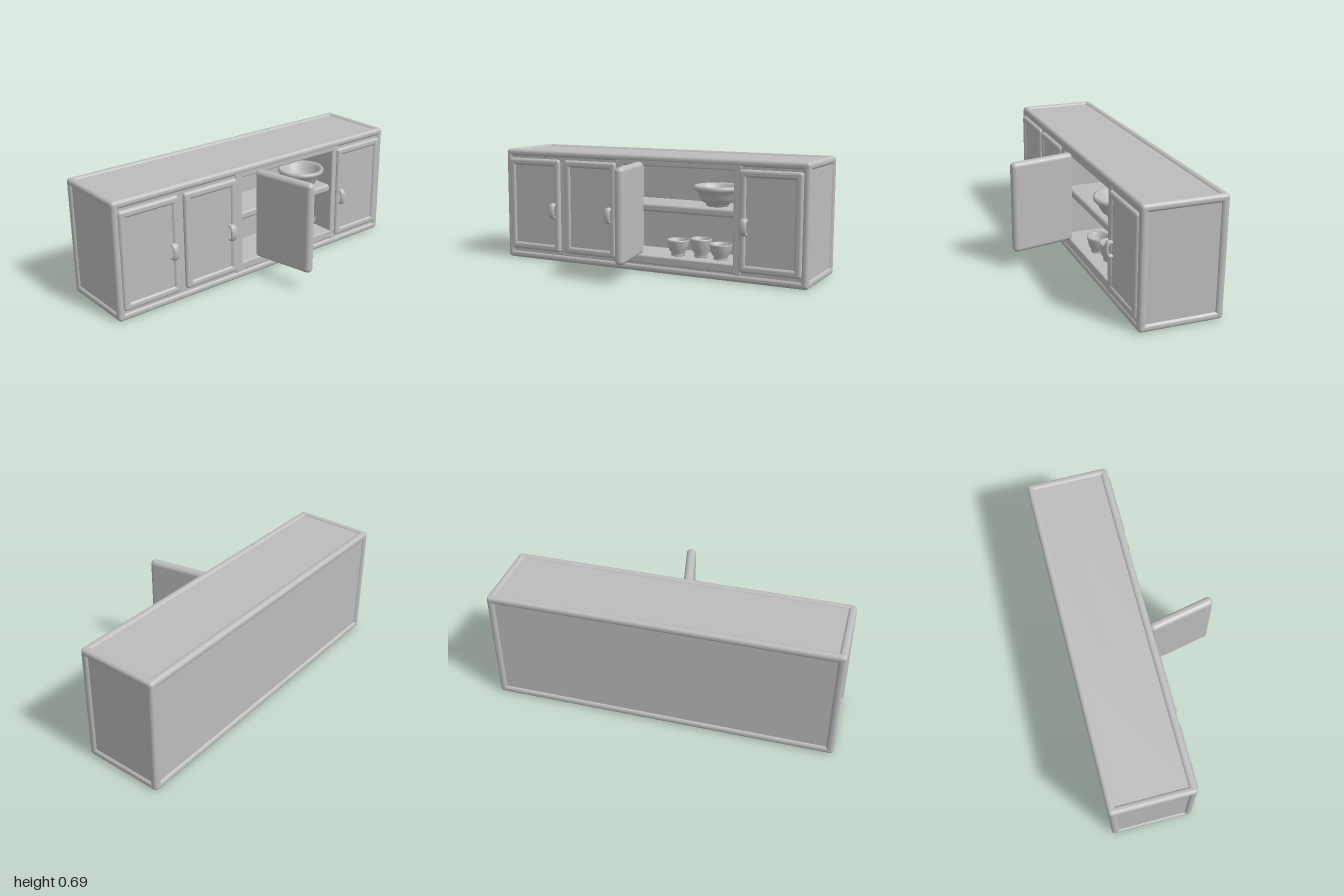
import * as THREE from 'three';
import { RoundedBoxGeometry } from 'three/addons/geometries/RoundedBoxGeometry.js';

export function createModel() {
  const model = new THREE.Group();
  model.name = 'sideboard';
  const grey = new THREE.MeshStandardMaterial({ color: 0xbcbcbc });
  grey.name = 'plain grey';
  const greyDouble = grey;

  const add = (name, geometry, parent = model) => {
    const mesh = new THREE.Mesh(geometry, greyDouble);
    mesh.name = name;
    parent.add(mesh);
    return mesh;
  };
  // Box given by its limits; rounded when a radius is given
  const block = (name, [x0, x1], [y0, y1], [z0, z1], r = 0, parent = model) => {
    const s = [x1 - x0, y1 - y0, z1 - z0];
    const geo = r ? new RoundedBoxGeometry(...s, 4, r) : new THREE.BoxGeometry(...s);
    const mesh = add(name, geo, parent);
    mesh.position.set((x0 + x1) / 2, (y0 + y1) / 2, (z0 + z1) / 2);
    return mesh;
  };

  // Carcass panels, set slightly inside the rounded edge frame
  const back = -0.42, front = 0.042, low = 0.01, high = 0.685, side = 0.988;
  block('leftCompartment', [0.56, side], [low, high], [back, front]);
  block('rightCompartment', [-side, -0.15], [low, high], [back, front]);
  block('backPanel', [-0.15, 0.56], [low, high], [back, -0.22]);
  block('topPanel', [-0.15, 0.56], [0.63, high], [-0.22, front]);
  block('bottomPanel', [-0.15, 0.56], [low, 0.1], [-0.22, front]);

  // Rounded frame along all twelve edges
  const t = 0.045, H = 0.695, Z0 = -0.432, Z1 = 0.05;
  const ySpans = [[0, t], [H - t, H]];
  const zSpans = [[Z0, Z0 + t], [Z1 - t, Z1]];
  const xSpans = [[-1, -1 + t], [1 - t, 1]];
  for (const y of ySpans) {
    for (const z of zSpans) block('longRail', [-1, 1], y, z, 0.02);
    for (const x of xSpans) block('sideRail', x, y, [Z0, Z1], 0.02);
  }
  for (const x of xSpans) for (const z of zSpans) block('cornerPost', x, [0, H], z, 0.02);

  // Opening surround and shelf
  block('openingTopRail', [-0.19, 0.6], [0.63, 0.67], [0.01, 0.048], 0.008);
  block('openingBottomRail', [-0.19, 0.6], [0.05, 0.1], [0.01, 0.048], 0.008);
  block('openingStile', [-0.2, -0.15], [0.04, 0.66], [0.01, 0.048], 0.008);
  block('openingStile', [0.56, 0.61], [0.04, 0.66], [0.01, 0.048], 0.008);
  block('shelf', [-0.155, 0.565], [0.36, 0.408], [-0.23, 0.03], 0.015);

  // Closed doors: rounded border around a recessed panel, with a loop handle
  const door = (x0, x1, handleX) => {
    const g = new THREE.Group();
    g.name = 'closedDoor';
    model.add(g);
    const y0 = 0.06, y1 = 0.64, w = 0.045, z = [0.02, 0.062];
    block('doorPanel', [x0 + 0.02, x1 - 0.02], [y0 + 0.02, y1 - 0.02], [0.02, 0.052], 0, g);
    for (const x of [[x0, x0 + w], [x1 - w, x1]]) block('doorStile', x, [y0, y1], z, 0.017, g);
    for (const y of [[y0, y0 + w], [y1 - w, y1]]) block('doorRail', [x0, x1], y, z, 0.017, g);
    const path = new THREE.CatmullRomCurve3([
      [0.36, 0.05], [0.358, 0.07], [0.34, 0.08], [0.3, 0.08], [0.282, 0.07], [0.28, 0.05],
    ].map(([y, zz]) => new THREE.Vector3(0, y, zz)));
    const handle = add('doorHandle', new THREE.TubeGeometry(path, 24, 0.011, 10), g);
    handle.scale.x = 1.9;
    handle.position.x = handleX;
  };
  door(-0.97, -0.595, -0.64);
  door(-0.56, -0.195, -0.24);
  door(0.595, 0.965, 0.632);

  // Door standing open
  const openDoor = add('openDoor', new RoundedBoxGeometry(0.055, 0.545, 0.395, 5, 0.026));
  openDoor.position.set(0.004, 0.383, 0.236);
  openDoor.rotation.y = 0.2;

  // Turned crockery: closed profile with outer wall, lip and hollow
  const turned = (name, points, x, y, z, sx = 1, sy = 1) => {
    const profile = points.map(([r, h]) => new THREE.Vector2(r, h));
    const m = add(name, new THREE.LatheGeometry(profile, 40));
    m.position.set(x, y, z);
    m.scale.set(sx, sy, sx);
  };
  turned('servingBowl', [
    [0, 0], [0.06, 0], [0.066, 0.006], [0.066, 0.014], [0.09, 0.028], [0.108, 0.055],
    [0.115, 0.085], [0.135, 0.092], [0.141, 0.104], [0.138, 0.118], [0.128, 0.121],
    [0.112, 0.108], [0.1, 0.07], [0.075, 0.04], [0, 0.03],
  ], 0.412, 0.408, -0.075);
  const cup = [
    [0, 0], [0.04, 0], [0.043, 0.006], [0.038, 0.014], [0.053, 0.035], [0.06, 0.065],
    [0.066, 0.088], [0.066, 0.096], [0.06, 0.096], [0.052, 0.07], [0.04, 0.035], [0, 0.022],
  ];
  turned('cup', cup, 0.172, 0.1, -0.05, 1, 1);
  turned('cup', cup, 0.312, 0.1, -0.07, 0.97, 1.15);
  turned('cup', cup, 0.442, 0.1, -0.06, 1.02, 0.95);

  return model;
}
